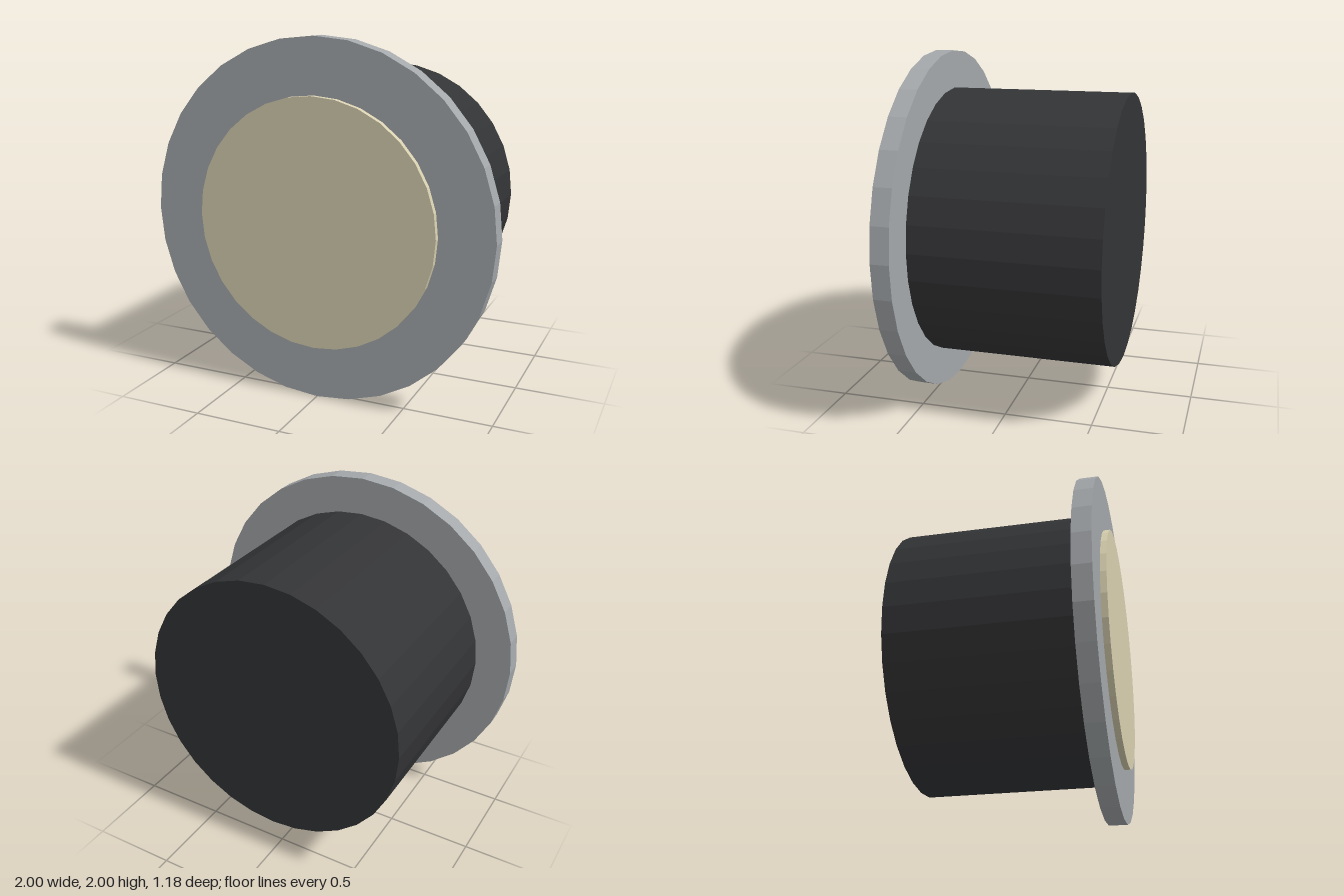
import * as THREE from 'three';

const SIDES = 32;

// Faceted disc lying along z, from z0 (back) to z1 (front), centred at y = 1
function disc(name, radius, z0, z1, color) {
  const geometry = new THREE.CylinderGeometry(radius, radius, z1 - z0, SIDES);
  geometry.rotateX(Math.PI / 2);
  const material = new THREE.MeshStandardMaterial({ color, flatShading: true });
  const mesh = new THREE.Mesh(geometry, material);
  mesh.name = name;
  mesh.position.set(0, 1, (z0 + z1) / 2);
  return mesh;
}

export function createModel() {
  const group = new THREE.Group();
  group.name = 'recessedLamp';
  group.add(
    disc('housing', 0.785, -0.59, 0.45, 0x333436), // dark can behind the rim
    disc('rim', 1, 0.45, 0.555, 0xa4a8ab),         // wide mounting flange
    disc('lens', 0.695, 0.555, 0.59, 0xd8d0b0)     // thin cream front plate
  );
  return group;
}
